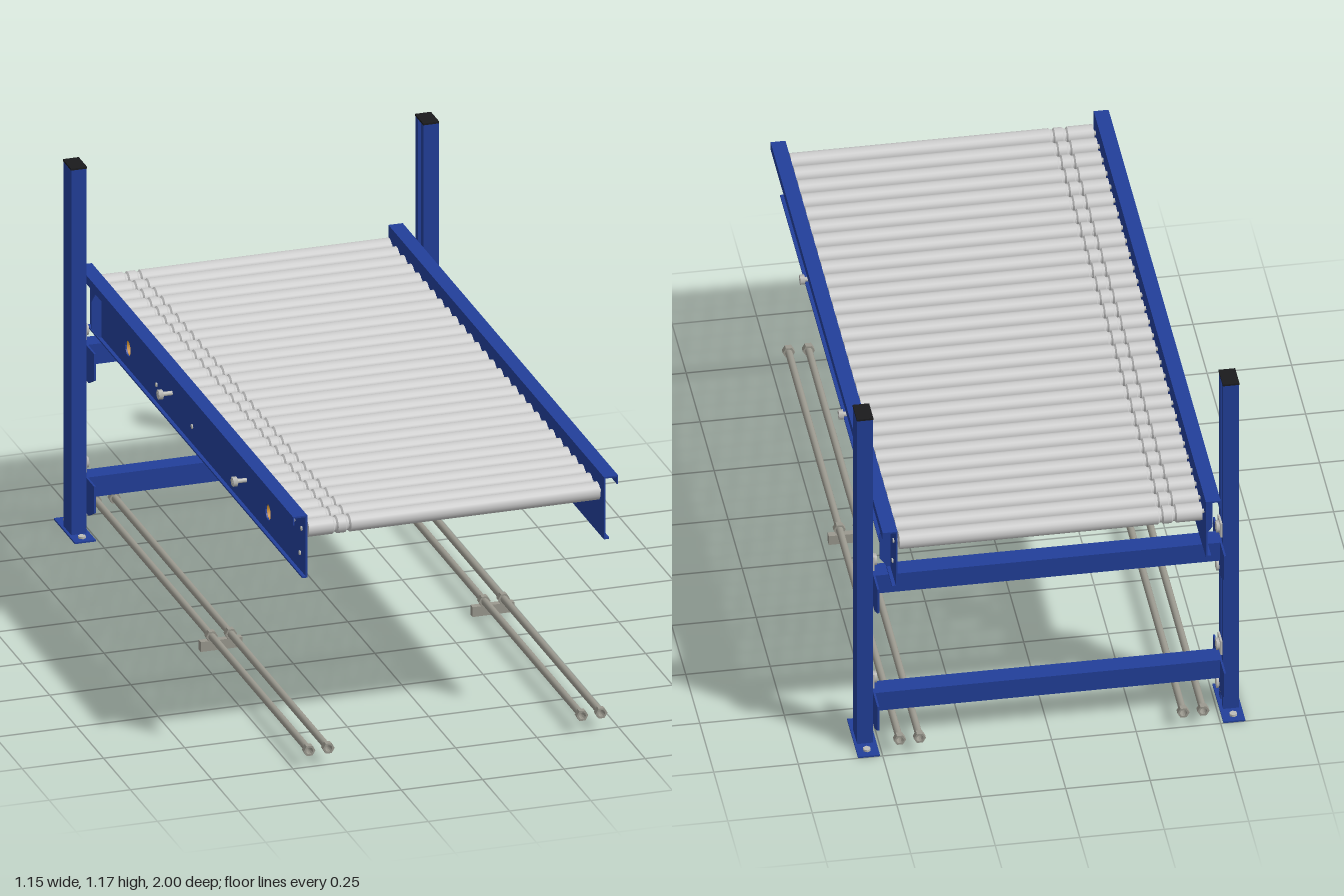
import * as THREE from 'three';

const mat = (name, color) => {
  const m = new THREE.MeshStandardMaterial({ color, side: THREE.DoubleSide });
  m.name = name;
  return m;
};

export function createModel() {
  const blue = mat('blue paint', 0x223f9a);
  const silver = mat('roller silver', 0xcccccc);
  const orange = mat('orange tube', 0xc68a2e);
  const steel = mat('dull steel', 0x9b998f);
  const black = mat('black plastic', 0x1b1b1d);
  const zinc = mat('zinc bolts', 0xbcbcb8);

  const model = new THREE.Group();
  model.name = 'rollerConveyor';

  const add = (name, geo, m, x = 0, y = 0, z = 0) => {
    const mesh = new THREE.Mesh(geo, m);
    mesh.name = name;
    mesh.position.set(x, y, z);
    model.add(mesh);
    return mesh;
  };
  const box = (name, m, x0, x1, y0, y1, z0, z1) =>
    add(name, new THREE.BoxGeometry(Math.abs(x1 - x0), y1 - y0, z1 - z0), m, (x0 + x1) / 2, (y0 + y1) / 2, (z0 + z1) / 2);
  const rodX = (r, len, seg = 12, open = false) => new THREE.CylinderGeometry(r, r, len, seg, 1, open).rotateZ(Math.PI / 2);
  const polygon = (pts) => new THREE.Shape(pts.map(([a, b]) => new THREE.Vector2(a, b)));
  const extrude = (shape, depth) => new THREE.ExtrudeGeometry(shape, { depth, bevelEnabled: false, curveSegments: 6 });
  // Outline given as (z, y), standing across x and centred on it
  const sidePlate = (shape, t) => extrude(shape, t).translate(0, 0, -t / 2).rotateY(-Math.PI / 2);
  const circleHole = (x, y, r) => new THREE.Path().absarc(x, y, r, 0, Math.PI * 2, true);

  // Conveying rollers: two belt grooves near one end
  const ROLLERS = 29, pitch = 0.069, rollerY = 0.743, R = 0.027;
  const profile = [
    [0.008, -0.45], [R, -0.448], [R, -0.372], [0.022, -0.367], [0.022, -0.362], [R, -0.357],
    [R, -0.333], [0.022, -0.328], [0.022, -0.323], [R, -0.318], [R, 0.448], [0.008, 0.45],
  ].map(([r, y]) => new THREE.Vector2(r, y));
  // Each profile corner is split so the groove edges stay sharp
  const sharp = profile.flatMap((p, i) => (i > 0 && i < profile.length - 1 ? [p, p.clone()] : [p]));
  const rollerGeo = new THREE.LatheGeometry(sharp, 20).rotateZ(-Math.PI / 2);
  const axleGeo = rodX(0.007, 0.93, 6);
  for (let i = 0; i < ROLLERS; i++) {
    const z = (i - (ROLLERS - 1) / 2) * pitch;
    add('roller', rollerGeo, silver, 0, rollerY, z);
    add('rollerAxle', axleGeo, zinc, 0, rollerY, z);
  }

  // Hollow cross tubes under the rollers
  const tubeZ = [-0.65, 0.65];
  for (const z of tubeZ) add('crossTube', rodX(0.027, 0.912, 16, true), orange, 0, 0.668, z);

  // Cross beams between the posts
  const beamTops = [0.177, 0.597];
  for (const top of beamTops) box('crossBeam', blue, -0.512, 0.512, top - 0.064, top, -0.93, -0.87);

  for (const s of [-1, 1]) {
    // Side rail: web with tube openings, flanges and lip
    const web = polygon([[-1, 0.6], [1, 0.6], [1, 0.797], [-1, 0.797]]);
    for (const z of tubeZ) web.holes.push(circleHole(z, 0.668, 0.025));
    add('railWeb', sidePlate(web, 0.005), blue, s * 0.4585);
    box('railTopFlange', blue, s * 0.456, s * 0.5, 0.792, 0.797, -1, 1);
    box('railLip', blue, s * 0.496, s * 0.5, 0.77, 0.795, -1, 1);
    box('railBottomFlange', blue, s * 0.456, s * 0.472, 0.6, 0.605, -1, 1);
    const gusset = polygon([[s * 0.457, 0.79], [s * 0.465, 0.768], [s * 0.492, 0.72], [s * 0.492, 0.635], [s * 0.468, 0.602], [s * 0.457, 0.602]]);
    add('railGusset', extrude(gusset, 0.006), blue, 0, 0, -0.9);

    // Rail bolts
    for (const z of [0.45, -0.24]) {
      add('railBolt', rodX(0.007, 0.045, 8), zinc, s * 0.483, 0.69, z);
      add('railNut', rodX(0.015, 0.014, 6), zinc, s * 0.498, 0.69, z);
    }
    for (const z of [0.95, 0.38, -0.05, -0.38, -0.95]) add('railScrew', rodX(0.007, 0.006, 6), zinc, s * 0.462, 0.66, z);

    // Upright post: lipped channel open towards the middle
    const H = 1.16, o = 0.565, n = 0.518, t = 0.006, a = -0.936, b = -0.861;
    const channel = polygon([
      [s * n, a], [s * o, a], [s * o, b], [s * n, b], [s * n, b - 0.024], [s * (n + t), b - 0.024],
      [s * (n + t), b - t], [s * (o - t), b - t], [s * (o - t), a + t], [s * (n + t), a + t],
      [s * (n + t), a + 0.024], [s * n, a + 0.024],
    ]);
    add('post', extrude(channel, H).rotateX(Math.PI / 2), blue, 0, H);
    box('postCap', black, s * (n - 0.001), s * (o + 0.001), H, H + 0.006, a - 0.001, b + 0.001);

    // Base plate and anchor bolts
    box('basePlate', blue, s * 0.508, s * 0.573, 0, 0.005, -1, -0.805);
    for (const z of [-0.97, -0.833]) add('anchorBolt', new THREE.CylinderGeometry(0.012, 0.012, 0.008, 6), zinc, s * 0.542, 0.008, z);

    // Beam end plates with clipped lower corners, and their clamps
    for (const top of beamTops) {
      const plate = polygon([[-1, top], [-1, top - 0.085], [-0.95, top - 0.112], [-0.85, top - 0.112], [-0.8, top - 0.085], [-0.8, top]]);
      add('beamEndPlate', sidePlate(plate, 0.006), blue, s * 0.513);
      for (const y of [top + 0.038, top - 0.098]) {
        add('clampBolt', rodX(0.018, 0.012, 6), zinc, s * 0.508, y, -0.9);
        box('clampPlate', zinc, s * 0.512, s * 0.518, y - 0.024, y + 0.024, -0.925, -0.875);
      }
    }

    // Floor rods with hex nuts at the ends and a coupling in the middle
    const hex = new THREE.Shape();
    for (let i = 0; i < 6; i++) {
      const u = (i * Math.PI) / 3;
      hex[i ? 'lineTo' : 'moveTo'](0.018 * Math.cos(u), 0.018 * Math.sin(u));
    }
    hex.closePath();
    hex.holes.push(circleHole(0, 0, 0.0105));
    const nutGeo = extrude(hex, 0.018).translate(0, 0, -0.009);
    for (const x of [0.39, 0.449]) {
      add('floorRod', new THREE.CylinderGeometry(0.011, 0.011, 2, 12, 1, true).rotateX(Math.PI / 2), steel, s * x, 0.05, 0);
      for (const z of [-0.991, 0.085, 0.991]) add('rodNut', nutGeo, steel, s * x, 0.05, z);
    }
    box('rodSupport', steel, s * 0.354, s * 0.482, 0.004, 0.035, 0.07, 0.09);
  }
  return model;
}
